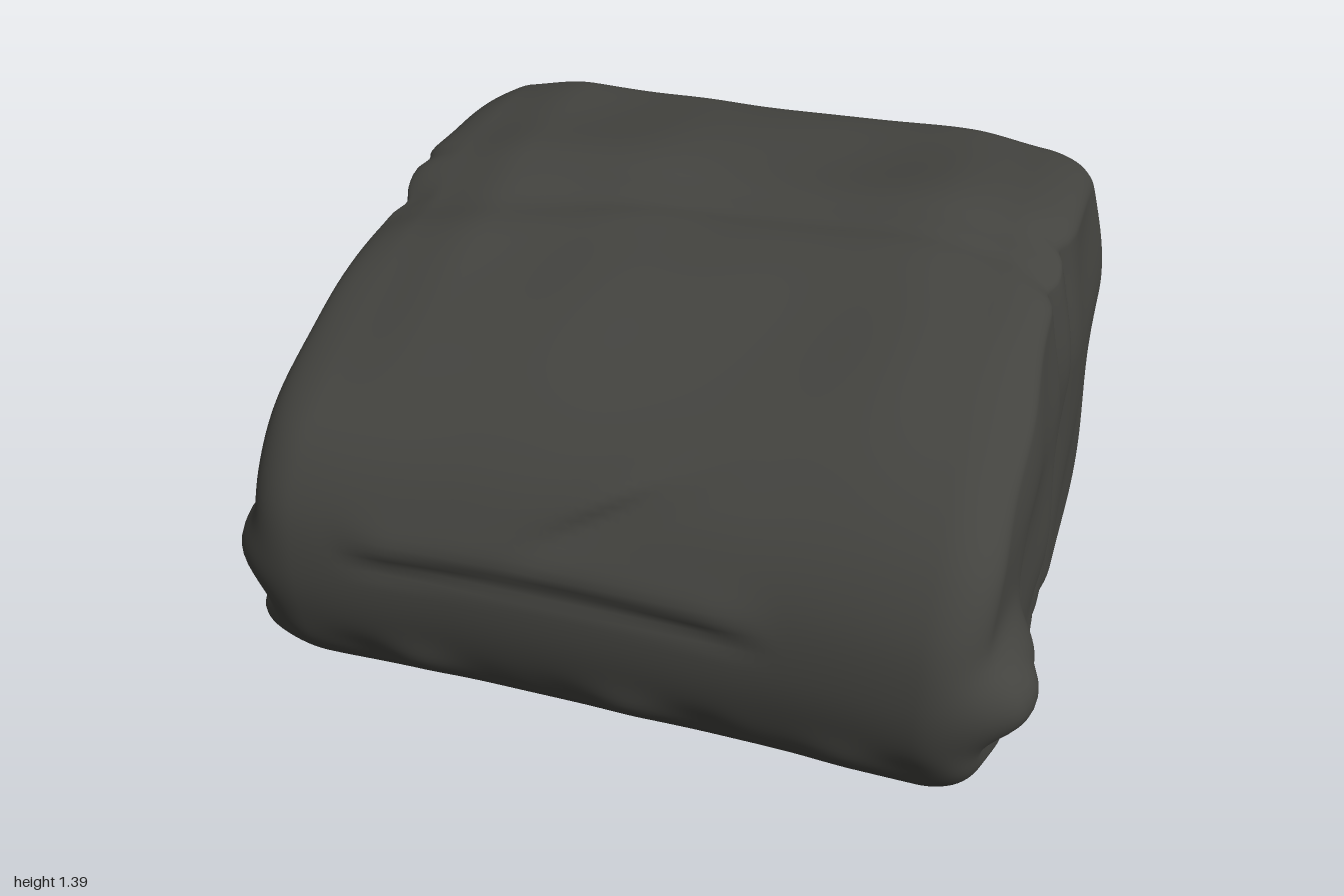
import * as THREE from 'three';

const AROUND = 220, CY = 0.7, CZ = -0.05, HALF = 0.915, ROUND = 0.14, INSET = 0.11;

// Side outline as [z, y]: nose, sloping top, raised rear band, back, base.
const OUTLINE = [
  [0.793, 0.7], [0.765, 0.86], [0.69, 0.99], [0.56, 1.105], [0.4, 1.195], [0.2, 1.268], [0, 1.317],
  [-0.12, 1.338], [-0.16, 1.347], [-0.21, 1.365], [-0.28, 1.376], [-0.45, 1.374], [-0.68, 1.358],
  [-0.73, 1.345], [-0.757, 1.28], [-0.778, 0.95], [-0.793, 0.5], [-0.783, 0.17], [-0.76, 0.1],
  [-0.71, 0.08], [-0.5, 0.062], [-0.3, 0.05], [0, 0.024], [0.12, 0.045], [0.2, 0.08], [0.35, 0.16],
  [0.5, 0.24], [0.65, 0.335], [0.74, 0.44], [0.782, 0.57],
];

const bump = (d, s) => Math.exp(-(d * d) / (2 * s * s));
const blob = (z, y, cz, cy, sz, sy) => bump(z - cz, sz) * bump(y - cy, sy);
// knob with a flatter top and steeper flanks
const knob = (z, y, cz, cy, rz, ry) => Math.exp(-((((z - cz) / rz) ** 2 + ((y - cy) / ry) ** 2) ** 1.6));
const step = THREE.MathUtils.smoothstep;

// Stations from the centre of one end, round its edge, along the body, to the other end.
function stations() {
  const end = [];
  for (let i = 0; i < 36; i++) end.push([HALF, (i / 36) * (1 - INSET)]);
  for (let i = 0; i <= 14; i++) {
    const a = (1 - i / 14) * Math.PI / 2;
    end.push([HALF - ROUND * (1 - Math.sin(a)), 1 - INSET * (1 - Math.cos(a))]);
  }
  const rows = end.map(([x, s]) => [-x, s]);
  const inner = HALF - ROUND;
  for (let i = 1; i < 70; i++) rows.push([-inner + 2 * inner * i / 70, 1]);
  return rows.concat(end.reverse());
}

// Narrowing of the body towards its top, base and nose, as a share of the width.
function taper(side, z, y) {
  const top = side > 0 ? 0.06 * step(y, 0.95, 1.36) : 0.075 * step(y, 0.85, 1.34);
  const base = side > 0 ? 0.06 * (1 - step(y, 0.04, 0.26)) : 0.085 * (1 - step(y, 0.08, 0.3));
  return top + base + 0.028 * step(z, 0.25, 0.8);
}

// Relief on the ends: seam grooves, soft dents and side knobs.
function endRelief(side, z, y) {
  let d = 0.006 * Math.sin(z * 13 + 1) * Math.sin(y * 9 + side);
  d -= 0.022 * bump(z + 0.11 - 0.015 * Math.sin(y * 6), 0.026);
  d -= 0.018 * bump(z + 0.245, 0.02);
  d += 0.02 * blob(z, y, 0.06, 0.62, 0.07, 0.12);
  d -= 0.025 * blob(z, y, 0.24, 0.62, 0.06, 0.18);
  d += 0.016 * blob(z, y, 0.12, 0.34, 0.12, 0.05);
  if (side > 0) {
    d += 0.012 * step(-z, 0.25, 0.36);
    d += 0.075 * knob(z, y, 0.6, 0.66, 0.17, 0.12) + 0.035 * knob(z, y, 0.67, 0.67, 0.08, 0.09);
  } else {
    d -= 0.025 * step(-z, 0.45, 0.78);
    d += 0.075 * knob(z, y, 0.61, 0.67, 0.14, 0.11) + 0.1 * knob(z, y, 0.46, 0.36, 0.1, 0.095)
      + 0.065 * knob(z, y, 0.61, 0.42, 0.09, 0.1);
  }
  return d;
}

// Relief on the wrapped surface: soft waves, front creases and the framed back.
function shape(x, y, z, s) {
  const p = new THREE.Vector3(x, y, z);
  const side = Math.sign(x) || 1, ax = Math.abs(x);
  p.x *= 1 - taper(side, z, y) * step(ax, 0.3, HALF);
  p.x += side * step(ax, HALF - ROUND, HALF - 0.02) * endRelief(side, z, y);
  const skin = step(s, 0.8, 1);
  // uneven top and base
  const up = step(y, 1, 1.3), down = 1 - step(y, 0.1, 0.35), left = step(-x, 0, 0.7);
  p.y += skin * up * (0.018 * bump(x - 0.55, 0.14) + 0.008 * bump(x + 0.2, 0.1)
    + 0.005 * Math.sin(x * 7 + z * 9) - (0.015 + 0.02 * left) * step(ax, 0.55, 0.85));
  p.y -= skin * up * (0.012 + 0.014 * left) * bump(z + 0.14 - 0.09 * left, 0.03 + 0.04 * left);
  p.y += skin * down * (0.011 * Math.sin(x * 8 + 1.2) + 0.045 * step(ax, 0.4, 0.85));
  // overhanging fold, slanting ridge and lower ripples on the nose
  const front = skin * step(z, 0.45, 0.7);
  const span = step(x, -0.68, -0.5) * (1 - step(x, 0.25, 0.45));
  const edge = 0.785 + 0.012 * Math.sin(x * 5 + 2);
  p.z += front * span * (0.016 * bump(y - edge - 0.05, 0.04) - 0.014 * bump(y - edge + 0.015, 0.018));
  const slant = y - 0.97 - 0.5 * (x - 0.02);
  p.z += front * bump(x - 0.03, 0.13) * (0.02 * bump(slant - 0.05, 0.035) - 0.028 * bump(slant, 0.025));
  p.z += front * 0.009 * (Math.sin(x * 13 + 1) + 0.5 * Math.sin(x * 23)) * bump(y - 0.46, 0.045);
  p.z += front * 0.014 * step(ax, 0.35, 0.78);
  // back panel: rounded rim, shallow channel, lumpy middle
  const back = step(-z, 0.73, 0.765) * skin;
  const r = (x / 0.83) ** 4 + ((y - 0.72) / 0.6) ** 4;
  p.z += back * (0.02 * bump(r - 0.45, 0.18) - 0.01 * (1 - step(r, 0, 0.3))
    + 0.006 * Math.sin(x * 12 + 1) * Math.sin(y * 11) * (1 - step(r, 0.3, 0.9)));
  return p;
}

function bodyGeometry() {
  const curve = new THREE.CatmullRomCurve3(
    OUTLINE.map(([z, y]) => new THREE.Vector3(0, y, z)), true, 'centripetal');
  const ring = curve.getSpacedPoints(AROUND).slice(0, AROUND);
  const rows = stations(), pos = [], index = [];
  rows.forEach(([x, s], j) => {
    ring.forEach((q, i) => {
      const p = shape(x, CY + (q.y - CY) * s, CZ + (q.z - CZ) * s, s);
      pos.push(p.x, p.y, p.z);
      if (j === rows.length - 1) return;
      const a = j * AROUND + i, b = j * AROUND + (i + 1) % AROUND;
      const c = a + AROUND, d = b + AROUND;
      index.push(a, c, b, b, c, d);
    });
  });
  const geo = new THREE.BufferGeometry();
  geo.setAttribute('position', new THREE.Float32BufferAttribute(pos, 3));
  geo.setIndex(index);
  geo.computeVertexNormals();
  return geo;
}

export function createModel() {
  const group = new THREE.Group();
  group.name = 'roundedBlock';
  const body = new THREE.Mesh(bodyGeometry(), new THREE.MeshStandardMaterial({ color: 0x43433f }));
  body.name = 'body';
  // settle the model on the ground and centre it
  body.geometry.computeBoundingBox();
  const box = body.geometry.boundingBox, mid = box.getCenter(new THREE.Vector3());
  body.geometry.translate(-mid.x, -box.min.y, -mid.z);
  group.add(body);
  return group;
}
